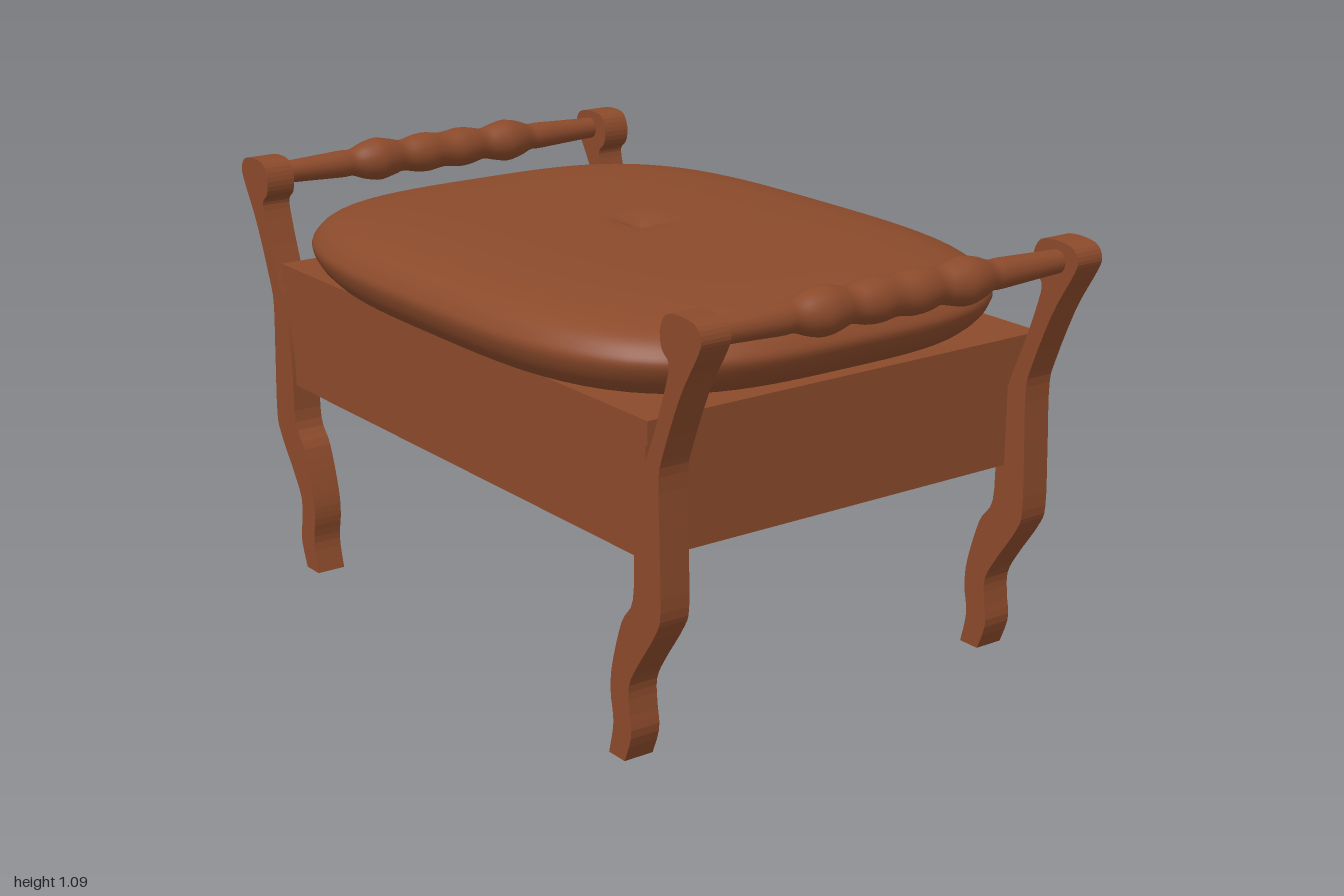
import * as THREE from 'three';
import { mergeVertices } from 'three/addons/utils/BufferGeometryUtils.js';

const wood = new THREE.MeshStandardMaterial({ color: 0x8b4a2b });
const v2 = (list) => list.map(([x, y]) => new THREE.Vector2(x, y));
const smooth = (list, n) => new THREE.SplineCurve(v2(list)).getPoints(n);

function part(group, name, geometry, x = 0, y = 0, z = 0) {
  const mesh = new THREE.Mesh(geometry, wood);
  mesh.name = name;
  mesh.position.set(x, y, z);
  group.add(mesh);
  return mesh;
}

// Curved leg with a scrolled top, cut from a flat board
const legOuter = [
  [0.73, 0], [0.755, 0.07], [0.748, 0.13], [0.747, 0.19], [0.78, 0.25], [0.845, 0.345],
  [0.863, 0.4], [0.86, 0.54], [0.855, 0.7], [0.872, 0.77], [0.93, 0.91], [0.988, 1.01],
  [1.0, 1.045], [0.982, 1.074], [0.93, 1.083], [0.88, 1.076], [0.859, 1.04],
  [0.864, 1.0], [0.885, 0.98],
];
const legInner = [
  [0.885, 0.98], [0.888, 0.95], [0.848, 0.83], [0.805, 0.725], [0.778, 0.635], [0.767, 0.54],
  [0.762, 0.4], [0.72, 0.335], [0.683, 0.22], [0.677, 0.15], [0.687, 0.08], [0.67, 0],
];

function legGeometry(side) {
  const outline = [...smooth(legOuter, 60), ...smooth(legInner, 44).slice(1)];
  const shape = new THREE.Shape(outline.map((p) => new THREE.Vector2(p.x * side, p.y)));
  return new THREE.ExtrudeGeometry(shape, { depth: 0.078, bevelEnabled: false });
}

// Turned handrail: [radius, distance along the rail], mirrored about its middle
const railHalf = [
  [0.047, 0], [0.053, 0.05], [0.05, 0.09], [0.042, 0.13], [0.05, 0.165], [0.057, 0.205],
  [0.05, 0.245], [0.036, 0.285], [0.036, 0.32], [0.032, 0.41], [0.028, 0.51],
];

function railGeometry() {
  const lower = railHalf.slice(1).reverse().map(([r, d]) => [r, -d]);
  return new THREE.LatheGeometry(smooth([...lower, ...railHalf], 80), 24).rotateX(Math.PI / 2);
}

// Buttoned cushion: a turned profile pushed out to a rounded rectangle
const cushionProfile = [
  [0, 0.822], [0.5, 0.821], [0.86, 0.82], [0.955, 0.85], [1, 0.905], [0.985, 0.94], [0.945, 0.968],
  [0.88, 0.987], [0.8, 1.001], [0.65, 1.015], [0.4, 1.023], [0.14, 1.022], [0.06, 1.012], [0, 0.992],
];

function cushionGeometry() {
  const profile = smooth(cushionProfile, 64);
  profile[0].x = profile[profile.length - 1].x = 0;
  let geometry = new THREE.LatheGeometry(profile, 96);
  const pos = geometry.attributes.position;
  const power = 3.4;
  for (let i = 0; i < pos.count; i++) {
    const x = pos.getX(i), z = pos.getZ(i), r = Math.hypot(x, z);
    if (r < 1e-6) continue;
    const c = Math.abs(x / r), s = Math.abs(z / r);
    const k = (c ** power + s ** power) ** (-1 / power);
    pos.setXYZ(i, x * k * 0.848, pos.getY(i), z * k * 0.657);
  }
  geometry.deleteAttribute('uv');
  geometry.deleteAttribute('normal');
  geometry = mergeVertices(geometry, 1e-5);
  geometry.computeVertexNormals();
  return geometry;
}

export function createModel() {
  const group = new THREE.Group();
  group.name = 'stool';

  // Seat box and its lid
  part(group, 'seatBox', new THREE.BoxGeometry(1.59, 0.27, 1.14), 0, 0.635, -0.005);
  part(group, 'lid', new THREE.BoxGeometry(1.62, 0.055, 1.155), 0, 0.796, -0.007);
  part(group, 'cushion', cushionGeometry());

  // Legs and handrails on both sides
  for (const side of [1, -1]) {
    const label = side > 0 ? 'left' : 'right';
    const leg = legGeometry(side);
    part(group, label + 'FrontLeg', leg, 0, 0, 0.497);
    part(group, label + 'BackLeg', leg, 0, 0, -0.58);
    part(group, label + 'Handrail', railGeometry(), side * 0.933, 1.034, -0.003);
  }
  return group;
}
